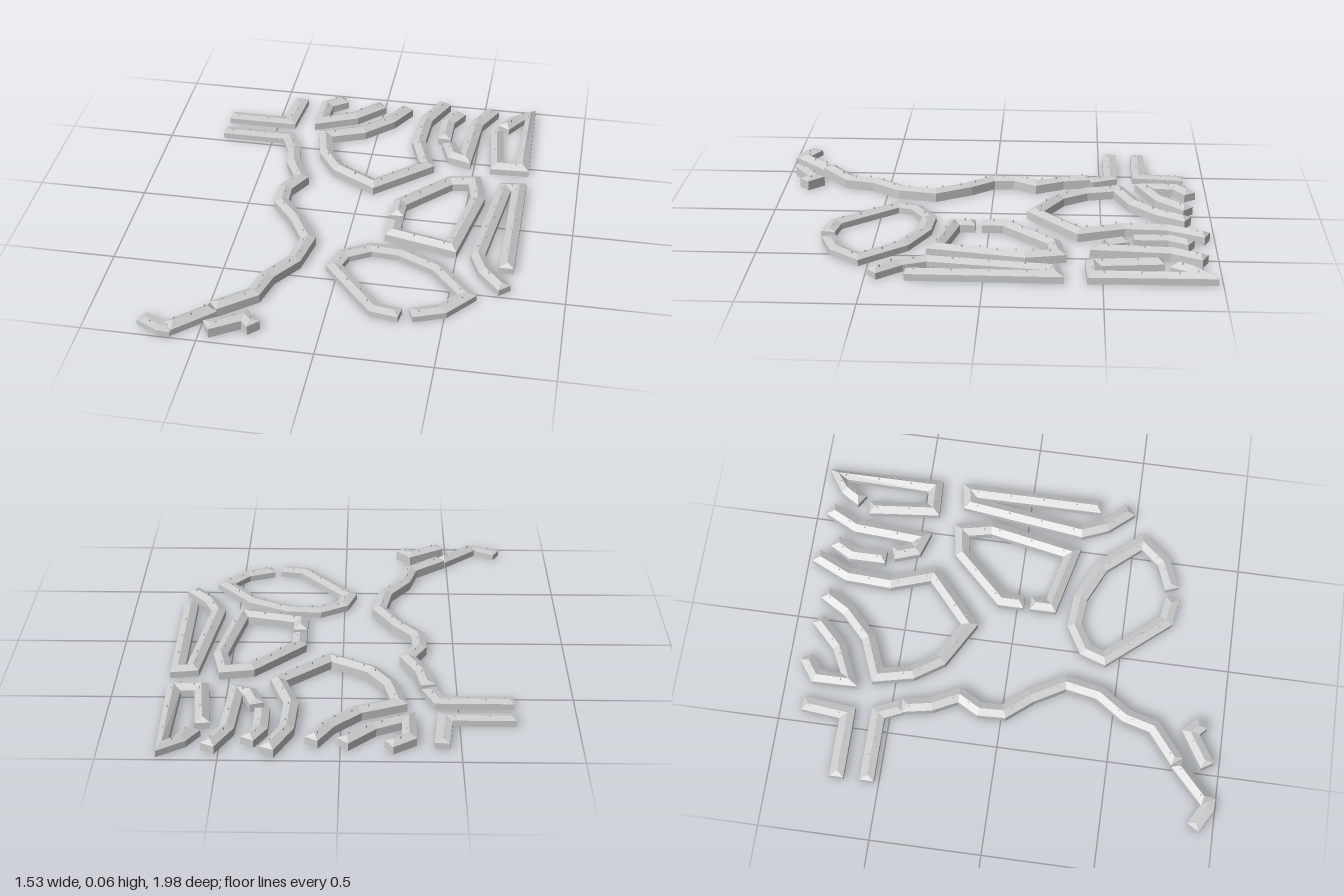
import * as THREE from 'three';

const HALF = 0.032; // half the depth of a terrace

// Hollow terrace along a path of x, z pairs: mitred walls, pitched roof, hipped ends, open underneath
function terraceGeometry(pts, eave, ridge) {
  const last = pts.length - 1;
  const dirs = pts.slice(1).map((p, i) => p.clone().sub(pts[i]).normalize());
  const sections = pts.map((p, i) => {
    const a = dirs[Math.max(i - 1, 0)], b = dirs[Math.min(i, last - 1)];
    const t = a.clone().add(b).normalize();
    const h = HALF / Math.max(t.dot(a), 0.62);
    const nx = t.y * h, nz = -t.x * h;
    const inset = i === 0 ? 0.025 : i === last ? -0.025 : 0;
    return [
      [p.x + nx, 0, p.y + nz], [p.x + nx, eave, p.y + nz],
      [p.x + t.x * inset, ridge, p.y + t.y * inset],
      [p.x - nx, eave, p.y - nz], [p.x - nx, 0, p.y - nz],
    ];
  });
  const out = [];
  const tri = (...v) => v.forEach((q) => out.push(...q));
  const quad = (a, b, c, d) => { tri(a, b, c); tri(a, c, d); };
  for (let i = 0; i < last; i++) {
    const a = sections[i], b = sections[i + 1];
    for (let j = 0; j < 4; j++) quad(a[j], a[j + 1], b[j + 1], b[j]);
  }
  const s = sections[0], e = sections[last];
  quad(s[0], s[4], s[3], s[1]);
  tri(s[1], s[3], s[2]);
  quad(e[0], e[1], e[3], e[4]);
  tri(e[1], e[2], e[3]);
  const geo = new THREE.BufferGeometry();
  geo.setAttribute('position', new THREE.Float32BufferAttribute(out, 3));
  geo.computeVertexNormals();
  return geo;
}

export function createModel() {
  const stone = new THREE.MeshStandardMaterial({ color: 0xcccccc, side: THREE.DoubleSide, flatShading: true });
  stone.name = 'pale grey';
  const model = new THREE.Group();
  model.name = 'terracedStreets';
  const stack = new THREE.BoxGeometry(0.004, 0.014, 0.006);

  const addRow = (name, eave, ridge, ...coords) => {
    const pts = [];
    for (let i = 0; i < coords.length; i += 2) pts.push(new THREE.Vector2(coords[i], coords[i + 1]));
    const group = new THREE.Group();
    group.name = name;
    const houses = new THREE.Mesh(terraceGeometry(pts, eave, ridge), stone);
    houses.name = 'terrace';
    group.add(houses);

    // Small chimneys spaced along each stretch of roof, alternating about the ridge
    for (let i = 0; i < pts.length - 1; i++) {
      const step = pts[i + 1].clone().sub(pts[i]);
      const len = step.length();
      const count = Math.max(1, Math.round(len / 0.08));
      for (let k = 0; k < count; k++) {
        const side = ((i + k) % 2 ? 0.008 : -0.008) / len;
        const spot = pts[i].clone().addScaledVector(step, (k + 0.5) / count);
        const chimney = new THREE.Mesh(stack, stone);
        chimney.name = 'chimney';
        chimney.position.set(spot.x + step.y * side, ridge - 0.001, spot.y - step.x * side);
        chimney.rotation.y = Math.atan2(step.x, step.y);
        group.add(chimney);
      }
    }
    model.add(group);
  };

  // West side: two lanes and the long winding row
  addRow('northLane', 0.028, 0.036, -0.74, -0.69, -0.44, -0.69, -0.42, -0.9);
  addRow('southLane', 0.028, 0.036, -0.74, -0.553, -0.42, -0.553, -0.375, -0.45);
  addRow('longRow', 0.042, 0.055, -0.375, -0.45, -0.35, -0.32, -0.29, -0.2, -0.345, -0.1, -0.34, 0.01,
    -0.25, 0.12, -0.165, 0.27, -0.195, 0.43, -0.285, 0.56, -0.32, 0.69, -0.47, 0.81);
  addRow('longRowEnd', 0.03, 0.052, -0.47, 0.81, -0.63, 0.96);
  addRow('curl', 0.027, 0.032, -0.61, 0.965, -0.66, 0.962, -0.755, 0.91);
  addRow('frontCottages', 0.045, 0.055, -0.47, 0.945, -0.325, 0.855, -0.275, 0.905);

  // Back: nested crescents
  addRow('hookRow', 0.036, 0.052, -0.2, -0.92, -0.285, -0.86, -0.285, -0.71, -0.13, -0.78, -0.01, -0.9);
  addRow('bigCrescent', 0.038, 0.054, 0.12, -0.89, 0.05, -0.77, -0.07, -0.655, -0.245, -0.585, -0.21, -0.43,
    -0.13, -0.31, 0.055, -0.205, 0.28, -0.405, 0.215, -0.6, 0.225, -0.8, 0.3, -0.965);
  addRow('shortRow', 0.036, 0.05, 0.385, -0.89, 0.335, -0.8, 0.335, -0.64);
  addRow('narrowCrescent', 0.036, 0.052, 0.36, -0.61, 0.395, -0.51, 0.455, -0.49, 0.475, -0.8, 0.545, -0.94);
  addRow('eastBlock', 0.03, 0.05, 0.61, -0.8, 0.66, -0.88, 0.73, -0.935, 0.73, -0.465, 0.61, -0.46, 0.58, -0.76);

  // Middle and front
  addRow('middleCrescent', 0.036, 0.053, 0.2, 0.03, 0.2, -0.075, 0.405, -0.29, 0.52, -0.31, 0.55, -0.17,
    0.475, 0.22, 0.2, 0.155, 0.2, 0.06);
  addRow('eastRow', 0.03, 0.046, 0.73, 0.33, 0.73, -0.3, 0.665, -0.29, 0.595, 0.25, 0.64, 0.36, 0.735, 0.47);
  addRow('frontRing', 0.028, 0.038, 0.315, 0.71, 0.2, 0.69, -0.02, 0.43, 0.01, 0.34, 0.12, 0.275,
    0.26, 0.285, 0.43, 0.365, 0.58, 0.54, 0.49, 0.65, 0.36, 0.7);

  return model;
}
